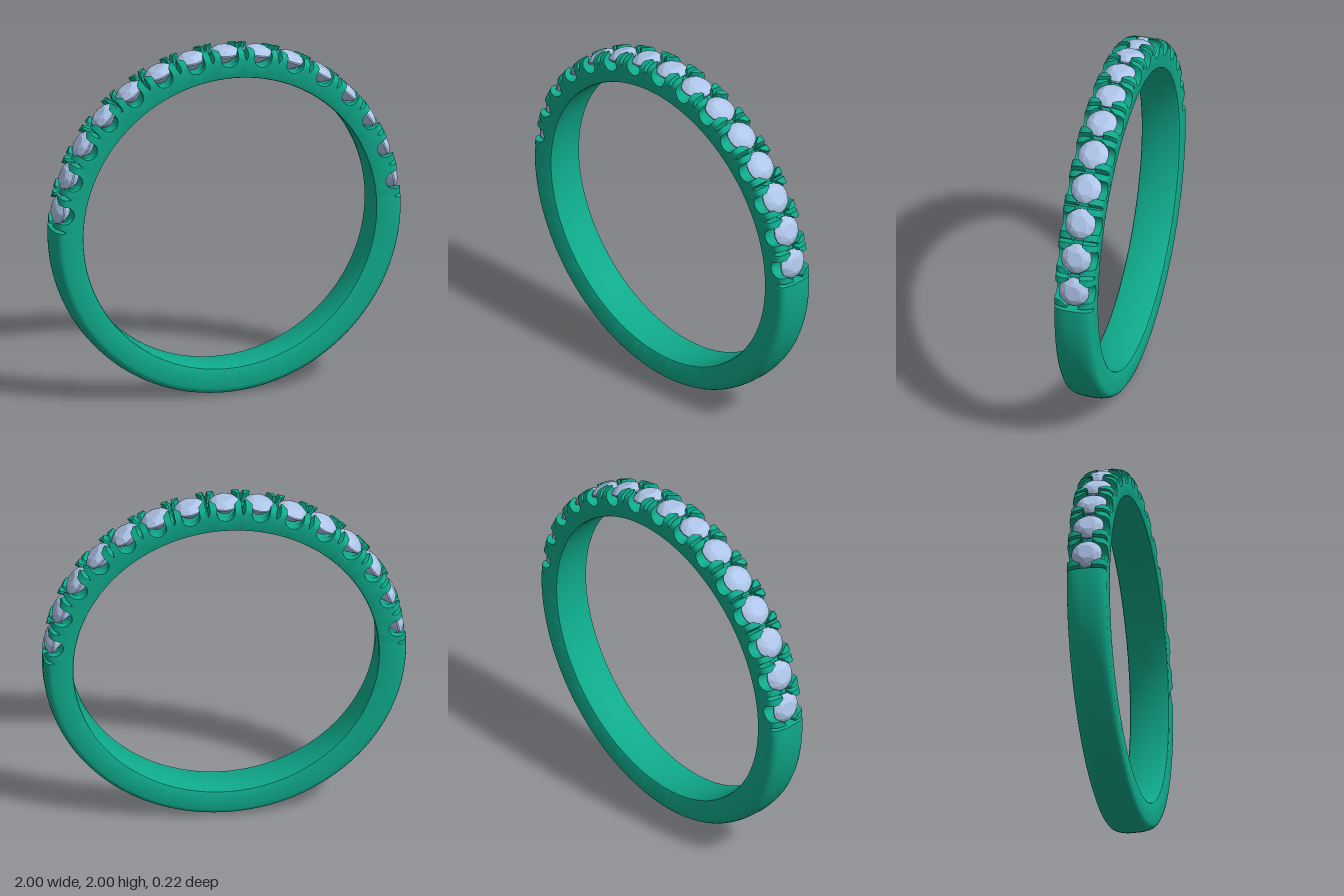
import * as THREE from 'three';
import { toCreasedNormals } from 'three/addons/utils/BufferGeometryUtils.js';
import { ConvexGeometry } from 'three/addons/geometries/ConvexGeometry.js';

const STONES = 15;
const HALF = THREE.MathUtils.degToRad(5.8); // half the angle between stones
const START = Math.PI / 2 - STONES * HALF;  // where the setting begins
const END = Math.PI / 2 + STONES * HALF;

// Half of the outer cross-section: [z, radius], with softened shoulders
const SHOULDER = [[0.11, 0.957], [0.106, 0.97], [0.098, 0.981], [0.085, 0.989], [0.07, 0.994],
  [0.06, 0.996], [0.05, 0.998], [0.04, 0.999], [0.033, 0.9995], [0.027, 1], [0.014, 1]];
const OUTER = [
  ...SHOULDER.map(([z, r]) => [-z, r]), [0, 1], ...SHOULDER.slice().reverse(),
];
// Inner side of the cross-section, slightly rounded
const INNER = [[0.11, 0.853], [0.106, 0.845], [0.098, 0.841], [0, 0.84],
  [-0.098, 0.841], [-0.106, 0.845], [-0.11, 0.853]];

// Half-width of the stone seat: round in plan, opening into a side scallop
const seat = (z) => Math.max(0.052, Math.sqrt(Math.max(0, 0.083 ** 2 - z * z)));
// Prong tops drop away between neighbouring stones
const prongTop = (z, top) => (Math.abs(z) < 0.03 ? 0.95 : top);

// Stations around the ring; each gives [angle, radius] for a point of the outer profile
function makeStations() {
  const stations = [];
  for (let i = 0; i < STONES; i++) {
    const mid = START + (2 * i + 1) * HALF;
    const add = (f) => stations.push((z, top) => {
      const [t, r] = f(z, top);
      return [mid + t, Math.min(r, top)];
    });
    const notch = HALF - 0.012;
    add(() => [-HALF, 0.945]);
    add((z, top) => [-notch, prongTop(z, top)]);
    add((z, top) => [-seat(z), prongTop(z, top)]);
    for (let k = 0; k <= 12; k++) {
      const p = (k / 12) * Math.PI;
      add((z) => [-seat(z) * Math.cos(p), 0.958 - 0.05 * Math.sin(p)]);
    }
    add((z, top) => [seat(z), prongTop(z, top)]);
    add((z, top) => [notch, prongTop(z, top)]);
    add(() => [HALF, 0.945]);
  }
  // Plain lower shank
  const sweep = Math.PI * 2 - (END - START);
  for (let k = 0; k <= 90; k++) {
    const a = END + 0.008 + (sweep - 0.016) * (k / 90);
    stations.push((z, top) => [a, top]);
  }
  return stations;
}

function makeBand() {
  const pos = [], index = [];
  const stations = makeStations();
  const n = OUTER.length + INNER.length;
  stations.forEach((station, i) => {
    const put = (a, r, z) => pos.push(r * Math.cos(a), 1 + r * Math.sin(a), z);
    for (const [z, top] of OUTER) {
      const [a, r] = station(z, top);
      put(a, r, z);
    }
    const [a] = station(0.11, 0.957);
    for (const [z, r] of INNER) put(a, r, z);
    const next = (i + 1) % stations.length;
    for (let j = 0; j < n; j++) {
      const k = (j + 1) % n;
      const p = i * n + j, q = next * n + j, s = next * n + k, t = i * n + k;
      index.push(p, q, s, p, s, t);
    }
  });
  const g = new THREE.BufferGeometry();
  g.setAttribute('position', new THREE.Float32BufferAttribute(pos, 3));
  g.setIndex(index);
  return toCreasedNormals(g, 0.6);
}

// Round brilliant cut, its axis along y and its girdle at y = 0
function makeStone() {
  const points = [new THREE.Vector3(0, -0.075, 0)];
  const ring = (count, radius, y, turn) => {
    for (let i = 0; i < count; i++) {
      const a = ((i + turn) / count) * Math.PI * 2;
      points.push(new THREE.Vector3(radius * Math.cos(a), y, radius * Math.sin(a)));
    }
  };
  ring(8, 0.044, 0.034, 0.5); // table
  ring(8, 0.068, 0.022, 0);   // crown
  ring(16, 0.086, 0.004, 0);  // girdle
  ring(16, 0.086, -0.004, 0);
  ring(8, 0.045, -0.042, 0.5); // pavilion
  return new ConvexGeometry(points);
}

export function createModel() {
  const group = new THREE.Group();
  group.name = 'ring';

  const band = new THREE.Mesh(makeBand(), new THREE.MeshStandardMaterial({ color: 0x0faa8b }));
  band.name = 'band';
  group.add(band);

  // Stones along the upper half
  const stoneGeometry = makeStone();
  const stoneMaterial = new THREE.MeshStandardMaterial({ color: 0xafc6ea, flatShading: true });
  const stones = new THREE.Group();
  stones.name = 'stones';
  for (let i = 0; i < STONES; i++) {
    const a = START + (2 * i + 1) * HALF;
    const stone = new THREE.Mesh(stoneGeometry, stoneMaterial);
    stone.name = 'stone';
    stone.position.set(0.961 * Math.cos(a), 1 + 0.961 * Math.sin(a), 0);
    stone.rotation.z = a - Math.PI / 2;
    stones.add(stone);
  }
  group.add(stones);
  return group;
}
